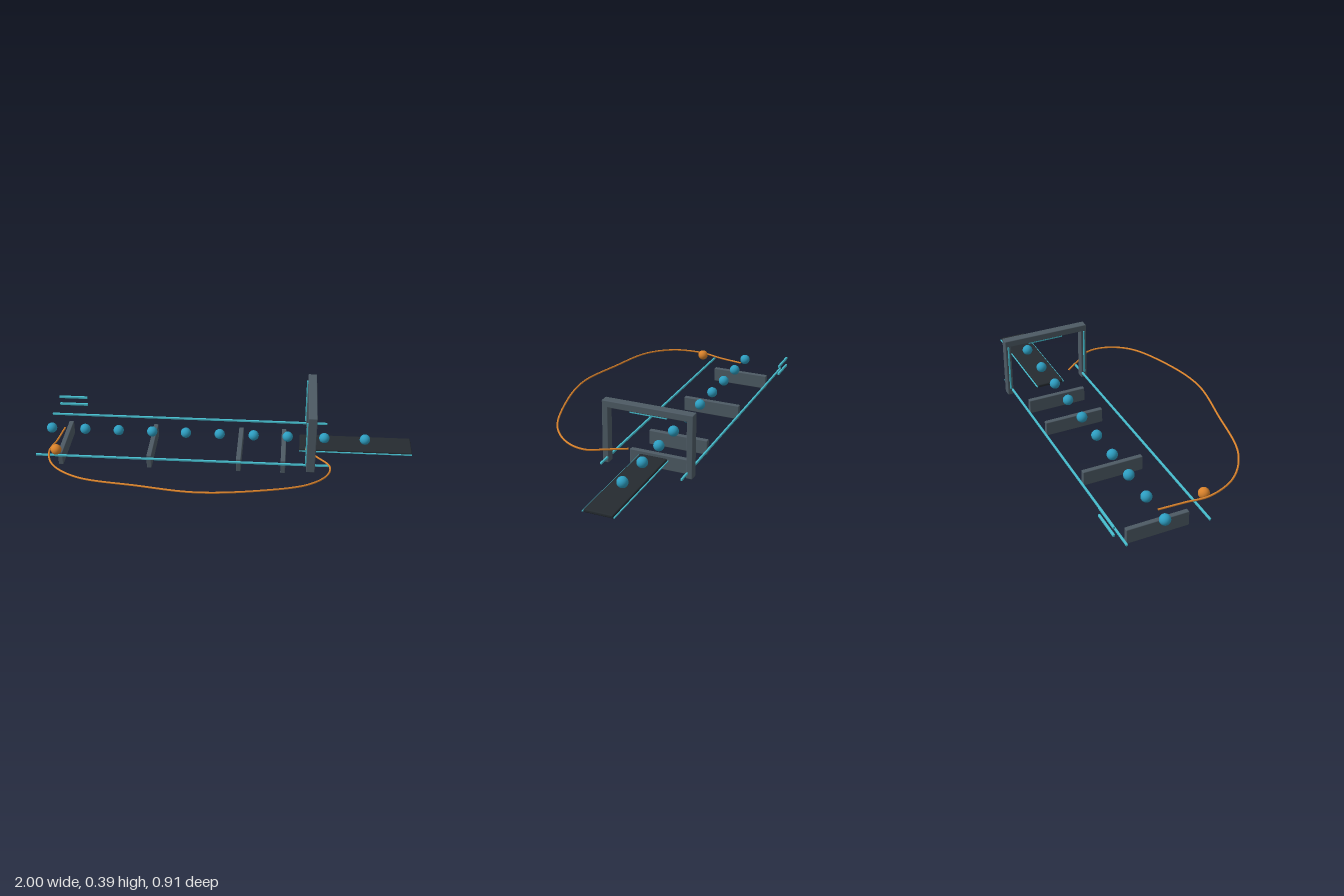
import * as THREE from 'three';
import { RoundedBoxGeometry } from 'three/addons/geometries/RoundedBoxGeometry.js';

const material = (name, color) => {
  const m = new THREE.MeshStandardMaterial({ color });
  m.name = name;
  return m;
};

export function createModel() {
  const model = new THREE.Group();
  model.name = 'conveyorLine';
  const slate = material('slate grey', 0x4d5a64);
  const black = material('belt black', 0x252b30);
  const teal = material('teal blue', 0x2d9dc0);
  const cyan = material('light cyan', 0x45bccd);
  const orange = material('orange', 0xd9822b);

  const add = (parent, name, geometry, mat, x = 0, y = 0, z = 0) => {
    const mesh = new THREE.Mesh(geometry, mat);
    mesh.name = name;
    mesh.position.set(x, y, z);
    parent.add(mesh);
    return mesh;
  };
  // Softly rounded box given by its extents on each axis
  const box = (parent, name, mat, [x0, x1], [y0, y1], [z0, z1], r = 0.004) =>
    add(parent, name, new RoundedBoxGeometry(x1 - x0, y1 - y0, z1 - z0, 2, r), mat,
      (x0 + x1) / 2, (y0 + y1) / 2, (z0 + z1) / 2);

  const midZ = -0.195;

  // Cross sleepers standing on the ground
  for (const x of [-0.882, -0.402, 0.078, 0.316]) {
    box(model, 'sleeper', slate, [x - 0.013, x + 0.013], [0, 0.079], [midZ - 0.161, midZ + 0.161]);
  }

  // Long guide rails
  for (const side of [-1, 1]) {
    const z = midZ + side * 0.209;
    box(model, 'guideRail', cyan, [-1, 0.555], [0.086, 0.097], [z - 0.005, z + 0.005], 0.002);
  }

  // Outfeed belt with thin edge strips
  box(model, 'belt', black, [0.4, 1], [0.087, 0.104], [midZ - 0.073, midZ + 0.073], 0.006);
  for (const side of [-1, 1]) {
    const z = midZ + side * 0.077;
    box(model, 'beltEdge', cyan, [0.4, 1], [0.089, 0.095], [z - 0.003, z + 0.003], 0.001);
  }

  // Gantry: two legs, a top beam and light strips
  const gantry = new THREE.Group();
  gantry.name = 'gantry';
  model.add(gantry);
  const gx = [0.437, 0.483];
  box(gantry, 'gantryBeam', slate, gx, [0.356, 0.392], [midZ - 0.235, midZ + 0.235]);
  for (const side of [-1, 1]) {
    const z = midZ + side * 0.219;
    box(gantry, 'gantryLeg', slate, gx, [0.063, 0.375], [z - 0.016, z + 0.016]);
    box(gantry, 'legLight', cyan, [0.43, 0.438], [0.1, 0.357], [z - 0.004, z + 0.004], 0.001);
  }
  box(gantry, 'beamLight', cyan, [0.45, 0.467], [0.342, 0.351], [midZ - 0.097, midZ + 0.097], 0.002);

  // Row of balls riding along the centre line
  const ball = new THREE.SphereGeometry(0.028, 24, 16);
  for (let i = 0; i < 8; i++) add(model, 'ball', ball, teal, -0.955 + i * 0.1844, 0.131, midZ);
  for (const x of [0.533, 0.751]) add(model, 'ball', ball, teal, x, 0.131, midZ);
  add(model, 'orangeBall', ball, orange, -0.88, 0.149, 0.045);

  // Short marker bars behind the line
  for (const y of [0.133, 0.178]) {
    box(model, 'markerBar', cyan, [-0.963, -0.803], [y - 0.007, y + 0.007], [-0.455, -0.444], 0.003);
  }

  // Return cable sweeping around the front
  const path = new THREE.CatmullRomCurve3([
    [-0.882, 0.134, -0.195], [-0.895, 0.14, -0.06], [-0.912, 0.149, 0.06], [-0.86, 0.163, 0.21],
    [-0.71, 0.177, 0.33], [-0.4, 0.191, 0.4], [-0.1, 0.199, 0.447], [0.2, 0.19, 0.4],
    [0.44, 0.174, 0.31], [0.54, 0.159, 0.2], [0.555, 0.149, 0.1], [0.49, 0.14, 0.005], [0.432, 0.133, -0.075],
  ].map((p) => new THREE.Vector3(...p)));
  add(model, 'cable', new THREE.TubeGeometry(path, 120, 0.005, 10), orange);

  return model;
}
